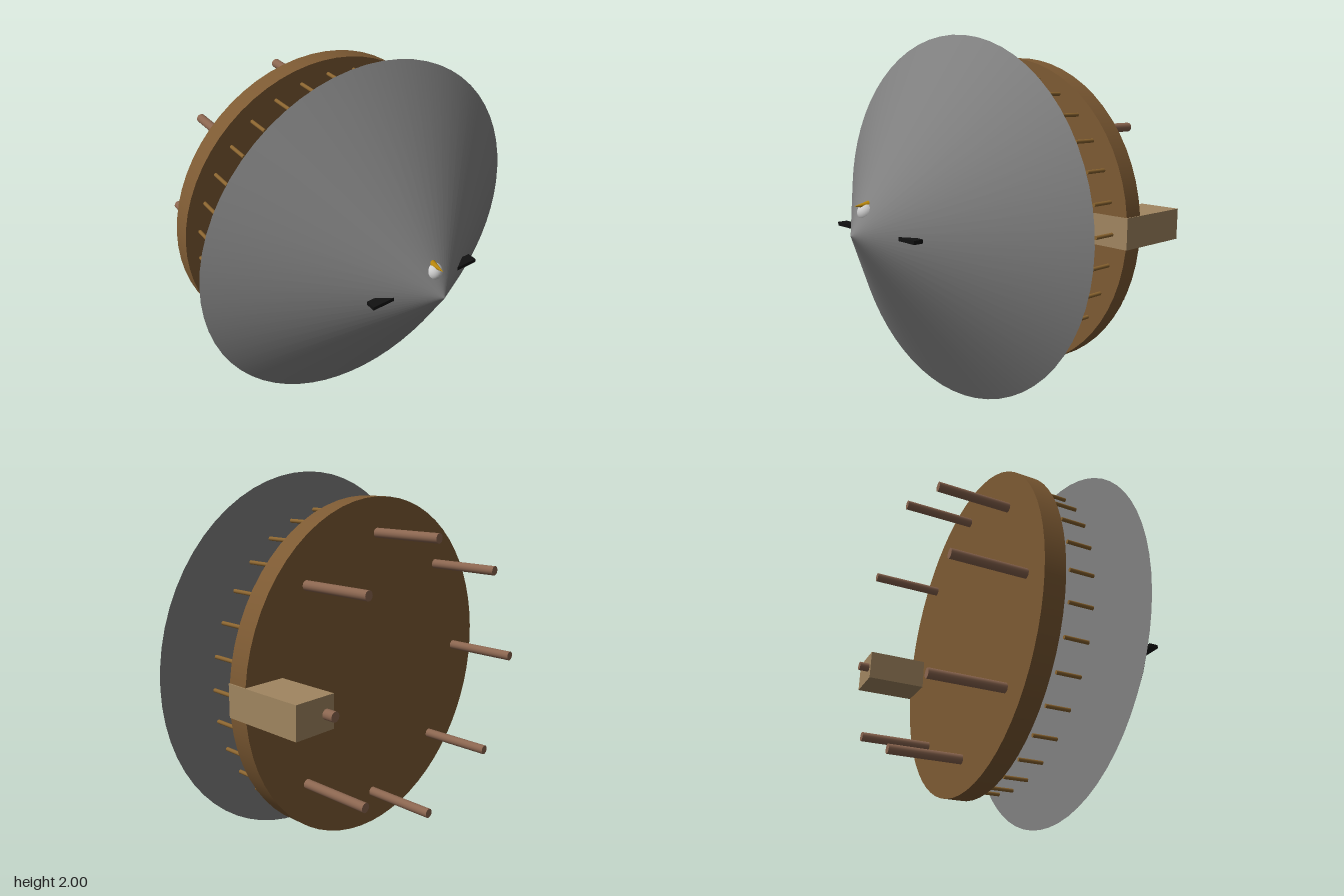
import * as THREE from 'three';

const CY = 1; // height of the shared axis

const mat = (color) => new THREE.MeshStandardMaterial({ color });

function add(parent, name, geometry, material, x, y, z) {
  const mesh = new THREE.Mesh(geometry, material);
  mesh.name = name;
  mesh.position.set(x, y, z);
  parent.add(mesh);
  return mesh;
}

// Cylinder or cone lying along z; rFront is the +z end
function rod(rFront, rBack, length, sides) {
  return new THREE.CylinderGeometry(rFront, rBack, length, sides).rotateX(Math.PI / 2);
}

// Evenly spaced copies of one geometry around the axis
function ring(parent, name, geometry, material, count, radius, z) {
  const group = new THREE.Group();
  group.name = name + 'Ring';
  for (let i = 0; i < count; i++) {
    const a = (i / count) * Math.PI * 2;
    add(group, name, geometry, material, Math.cos(a) * radius, CY + Math.sin(a) * radius, z);
  }
  parent.add(group);
}

export function createModel() {
  const model = new THREE.Group();
  model.name = 'coneAndDisc';

  const grey = mat(0x808080);
  const wood = mat(0x7d5a33);
  const pinWood = mat(0x8b6530);
  const pegWood = mat(0x8b6650);
  const paleWood = mat(0xa08560);
  const black = mat(0x111111);
  const white = mat(0xdddddd);
  const gold = mat(0xb8860b);

  // Wide closed cone pointing forward
  add(model, 'frontCone', rod(0, 1, 0.665, 64), grey, 0, CY, 0.4425);

  // Thick round board behind it
  add(model, 'backDisc', rod(0.888, 0.888, 0.11, 64), wood, 0, CY, -0.335);

  // Small floating pins between cone and disc
  ring(model, 'pin', rod(0.01, 0.01, 0.13, 12), pinWood, 32, 0.833, -0.165);

  // Pegs on the back of the disc
  ring(model, 'peg', rod(0.025, 0.025, 0.39, 16), pegWood, 8, 0.708, -0.58);

  // Block on the model's left edge, around one peg
  add(model, 'sideBlock', new THREE.BoxGeometry(0.23, 0.165, 0.441), paleWood, 0.775, CY + 0.002, -0.4995);

  // Dark slots either side of the tip
  for (const side of [-1, 1]) {
    add(model, side > 0 ? 'leftSlot' : 'rightSlot',
      new THREE.BoxGeometry(0.2, 0.02, 0.054), black, side * 0.235, CY, 0.609);
  }

  // Small half-sunk ball with a pointed spike above the tip
  add(model, 'ball', new THREE.SphereGeometry(0.045, 24, 16), white, 0, 1.11, 0.68);
  add(model, 'spike', rod(0, 0.02, 0.085, 16), gold, 0, 1.148, 0.7075);

  return model;
}
